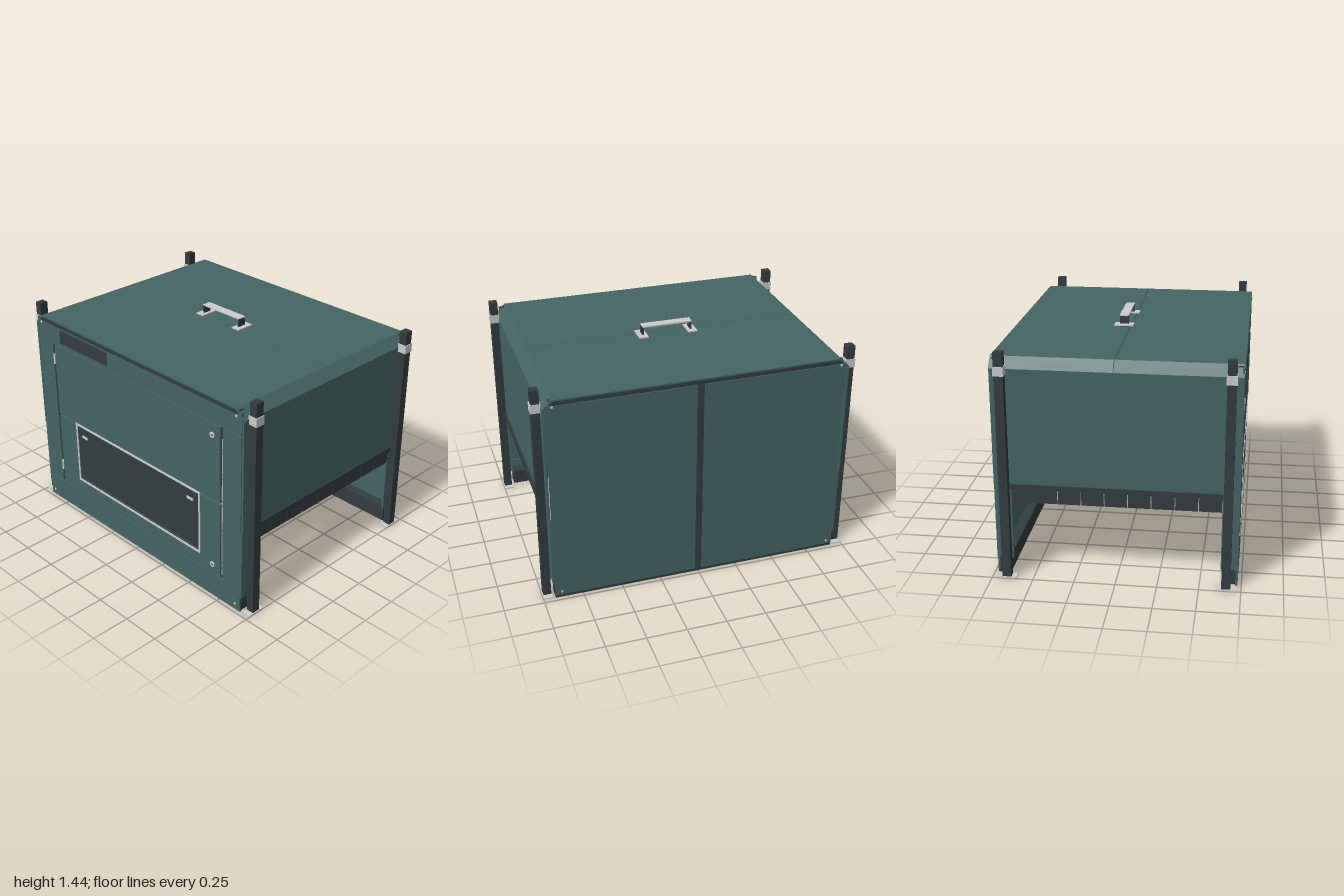
import * as THREE from 'three';

const mat = (color) => new THREE.MeshStandardMaterial({ color, side: THREE.DoubleSide });
const TEAL = mat(0x446565), DARK = mat(0x333c40), GREY = mat(0xcccccc);

export function createModel() {
  const model = new THREE.Group();

  // box given by its limits on each axis
  function box(name, m, x0, x1, y0, y1, z0, z1, parent = model) {
    const mesh = new THREE.Mesh(new THREE.BoxGeometry(x1 - x0, y1 - y0, z1 - z0), m);
    mesh.position.set((x0 + x1) / 2, (y0 + y1) / 2, (z0 + z1) / 2);
    mesh.name = name;
    parent.add(mesh);
    return mesh;
  }
  // box mirrored to the other side in x
  function pair(name, m, x0, x1, y0, y1, z0, z1) {
    box(name, m, x0, x1, y0, y1, z0, z1);
    box(name, m, -x1, -x0, y0, y1, z0, z1);
  }
  // short round part with its axis along z
  function disc(name, m, x, y, z, r, depth) {
    const mesh = new THREE.Mesh(new THREE.CylinderGeometry(r, r, depth, 20), m);
    mesh.rotation.x = Math.PI / 2;
    mesh.position.set(x, y, z);
    mesh.name = name;
    model.add(mesh);
  }

  // corner posts with collars and foot plates
  for (const x of [-0.97, 0.97]) {
    for (const z of [-0.66, 0.66]) {
      const post = new THREE.Group();
      post.name = 'cornerPost';
      post.position.set(x, 0, z);
      box('postTube', DARK, -0.025, 0.025, 0.01, 1.42, -0.027, 0.027, post);
      box('postCollar', GREY, -0.03, 0.03, 1.28, 1.335, -0.031, 0.031, post);
      box('footPlate', GREY, -0.03, 0.03, 0, 0.008, -0.06, 0.06, post);
      model.add(post);
    }
  }

  // lid: two folded sheets meeting in a seam
  const lid = [[-0.945, 1.31], [-0.885, 1.37], [0.885, 1.37], [0.945, 1.31],
    [0.93, 1.31], [0.88, 1.36], [-0.88, 1.36], [-0.93, 1.31]];
  const lidShape = new THREE.Shape(lid.map(([x, y]) => new THREE.Vector2(x, y)));
  for (const [z0, z1] of [[-0.73, -0.012], [-0.009, 0.727]]) {
    const sheet = new THREE.Mesh(
      new THREE.ExtrudeGeometry(lidShape, { depth: z1 - z0, bevelEnabled: false }), TEAL);
    sheet.position.z = z0;
    sheet.name = 'lidSheet';
    model.add(sheet);
  }

  // lid handle
  for (const s of [-1, 1]) {
    box('handleBase', GREY, s * 0.16 - 0.03, s * 0.16 + 0.03, 1.378, 1.386, -0.11, 0.01);
    box('handleStud', DARK, s * 0.16 - 0.015, s * 0.16 + 0.015, 1.368, 1.38, -0.07, -0.03);
    box('handleLeg', DARK, s * 0.156 - 0.005, s * 0.156 + 0.005, 1.385, 1.437, -0.078, -0.022);
  }
  box('handleGrip', GREY, -0.161, 0.161, 1.434, 1.443, -0.078, -0.022);

  // side walls, lower corner returns, trims
  pair('sideWall', TEAL, 0.93, 0.943, 0.57, 1.308, -0.728, 0.728);
  pair('sideTrim', DARK, 0.925, 0.955, 0.57, 0.6, -0.63, 0.63);
  for (const s of [-1, 1]) {
    const a = s > 0 ? 0.625 : -0.728, b = s > 0 ? 0.728 : -0.625;
    pair('cornerReturn', TEAL, 0.925, 0.938, 0.11, 0.567, a, b);
  }

  // hanging curtain strips along both open sides
  for (let i = 0; i < 9; i++) {
    const z = (i - 4) * 0.139;
    pair('curtainStrip', DARK, 0.932, 0.938, 0.48, 0.572, z - 0.0665, z + 0.0665);
  }

  // bars along the top and bottom of both end walls
  for (const s of [-1, 1]) {
    const a = s > 0 ? 0.65 : -0.715, b = s > 0 ? 0.715 : -0.65;
    box('bottomRail', DARK, -0.925, 0.925, 0.01, 0.11, a, b);
    box('topRail', DARK, -0.9, 0.9, 1.325, 1.362, s > 0 ? 0.69 : -0.722, s > 0 ? 0.722 : -0.69);
  }

  // front wall around the door
  const Z0 = 0.714, Z1 = 0.728;
  box('kickPanel', TEAL, -0.927, 0.925, 0.003, 0.161, Z0, Z1);
  box('headerPanel', TEAL, -0.927, 0.925, 1.207, 1.33, Z0, Z1);
  pair('headerTab', TEAL, 0.895, 0.925, 1.33, 1.355, Z0, Z1);
  box('frontPillar', TEAL, -0.927, -0.783, 0.168, 1.2, Z0, Z1);
  box('frontPillar', TEAL, 0.78, 0.925, 0.168, 1.2, Z0, Z1);
  box('namePlate', DARK, -0.695, -0.23, 1.235, 1.325, Z1, 0.732);

  // door: upper leaf, and lower leaf with a window opening
  box('upperDoor', TEAL, -0.765, 0.757, 0.697, 1.2, Z0, Z1);
  box('lowerDoorBottom', TEAL, -0.765, 0.757, 0.168, 0.27, Z0, Z1);
  box('lowerDoorSide', TEAL, -0.765, -0.58, 0.27, 0.684, Z0, Z1);
  box('lowerDoorSide', TEAL, 0.58, 0.757, 0.27, 0.684, Z0, Z1);

  // window pane, frame and catches
  box('windowPane', DARK, -0.585, 0.585, 0.265, 0.688, 0.717, 0.727);
  box('windowFrame', GREY, -0.592, 0.588, 0.258, 0.272, Z1 - 0.006, 0.732);
  box('windowFrame', GREY, -0.592, 0.588, 0.682, 0.696, Z1 - 0.006, 0.732);
  pair('windowFrame', GREY, 0.577, 0.59, 0.272, 0.682, Z1 - 0.006, 0.732);
  box('windowLip', TEAL, -0.567, 0.567, 0.282, 0.285, 0.726, 0.729);
  pair('windowCatch', GREY, 0.477, 0.53, 0.607, 0.624, 0.727, 0.732);

  // hinges, locks and corner screws
  for (const y of [0.295, 1.097]) box('hinge', GREY, -0.781, -0.767, y - 0.035, y + 0.035, 0.705, 0.732);
  for (const y of [0.235, 1.13]) {
    disc('lock', GREY, 0.695, y, 0.73, 0.018, 0.006);
    box('lockSlot', DARK, 0.685, 0.705, y - 0.003, y + 0.003, 0.732, 0.734);
  }
  for (const x of [-0.89, 0.885]) {
    for (const y of [0.045, 1.325]) {
      disc('screw', GREY, x, y, 0.729, 0.008, 0.006);
      disc('screw', GREY, x, y, -0.729, 0.008, 0.006);
    }
  }

  // back wall: two panels and a central strip
  pair('backPanel', TEAL, 0.022, 0.925, 0.022, 1.33, -0.728, -0.716);
  box('backStrip', DARK, -0.024, 0.024, 0.02, 1.33, -0.722, -0.69);
  box('backSill', DARK, -0.925, 0.925, 0.003, 0.022, -0.726, -0.65);

  return model;
}
